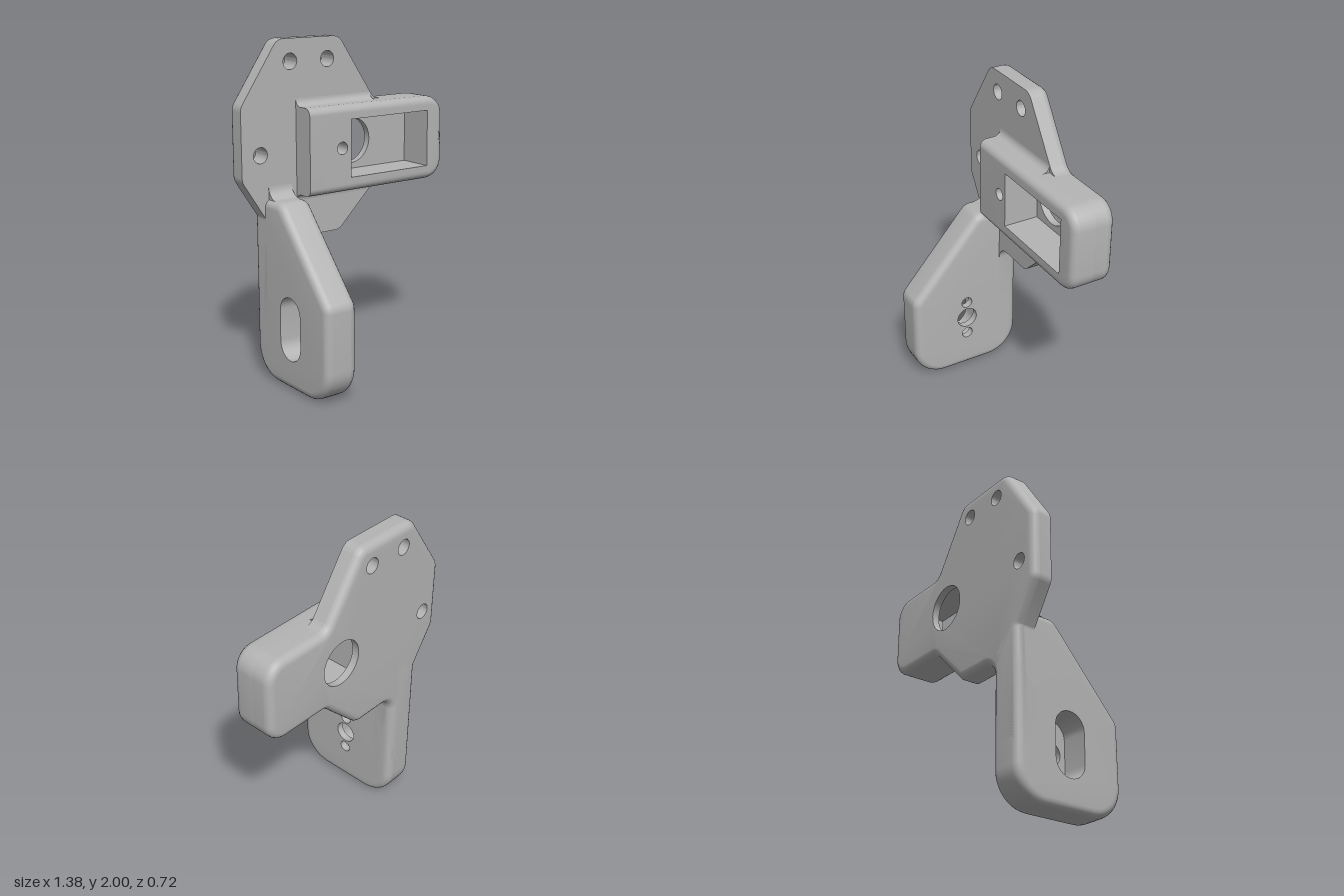
import * as THREE from 'three';
import { toCreasedNormals } from 'three/addons/utils/BufferGeometryUtils.js';

const V = (x, y) => new THREE.Vector2(x, y);

// Closed outline from [x, y, cornerRadius] corners, counter-clockwise
function rounded(corners, seg = 8) {
  const out = [], n = corners.length;
  corners.forEach(([x, y, r], i) => {
    const p = V(x, y);
    if (!r) { out.push(p); return; }
    const [px, py] = corners[(i + n - 1) % n], [nx, ny] = corners[(i + 1) % n];
    const a = V(px, py).sub(p).normalize(), b = V(nx, ny).sub(p).normalize();
    const h = Math.acos(a.dot(b)) / 2, t = r / Math.tan(h);
    const c = p.clone().addScaledVector(a.clone().add(b).normalize(), r / Math.sin(h));
    const start = p.clone().addScaledVector(a, t).sub(c).angle();
    let sweep = p.clone().addScaledVector(b, t).sub(c).angle() - start;
    if (sweep > Math.PI) sweep -= 2 * Math.PI;
    if (sweep < -Math.PI) sweep += 2 * Math.PI;
    for (let k = 0; k <= seg; k++) {
      const q = start + sweep * k / seg;
      out.push(V(c.x + r * Math.cos(q), c.y + r * Math.sin(q)));
    }
  });
  return out;
}

// Clockwise hole outlines
const circle = (x, y, r, n = 32) => Array.from({ length: n }, (_, i) =>
  V(x + r * Math.cos(-i / n * 2 * Math.PI), y + r * Math.sin(-i / n * 2 * Math.PI)));
const rectHole = (x0, x1, y0, y1, r = 0) =>
  rounded([[x0, y0, r], [x1, y0, r], [x1, y1, r], [x0, y1, r]]).reverse();

function inset(pts, d, lockX) {
  const n = pts.length;
  const normal = (a, b) => V(a.y - b.y, b.x - a.x).normalize();
  return pts.map((p, i) => {
    const n1 = normal(pts[(i + n - 1) % n], p), n2 = normal(p, pts[(i + 1) % n]);
    const q = p.clone().addScaledVector(n1.clone().add(n2), d / (1 + n1.dot(n2)));
    if (p.x === lockX) q.x = p.x;
    return q;
  });
}

// Slab with straight holes; levels are [z, inset] pairs from back to front
function slab(outline, holes, levels, lockX) {
  const pos = [];
  const put = (p, z) => pos.push(p.x, p.y, z);
  const wall = (lo, z0, hi, z1) => lo.forEach((p, i) => {
    const j = (i + 1) % lo.length;
    put(p, z0); put(lo[j], z0); put(hi[j], z1);
    put(p, z0); put(hi[j], z1); put(hi[i], z1);
  });
  const rings = levels.map(([, d]) => d ? inset(outline, d, lockX) : outline);
  const last = levels.length - 1;
  for (let i = 0; i < last; i++) wall(rings[i], levels[i][0], rings[i + 1], levels[i + 1][0]);
  holes.forEach(h => wall(h, levels[0][0], h, levels[last][0]));
  for (const k of [0, last]) {
    const all = [rings[k], ...holes].flat();
    for (const f of THREE.ShapeUtils.triangulateShape(rings[k], holes)) {
      (k ? f : [f[2], f[1], f[0]]).forEach(i => put(all[i], levels[k][0]));
    }
  }
  const g = new THREE.BufferGeometry();
  g.setAttribute('position', new THREE.Float32BufferAttribute(pos, 3));
  return toCreasedNormals(g, 0.6);
}

// Levels of a rounded edge at the back (dir 1) or the front (dir -1)
const B = 0.045;
function edge(z, dir) {
  const l = [];
  for (let i = 0; i <= 5; i++) {
    const a = i / 5 * Math.PI / 2;
    l.push([z + dir * B * (1 - Math.cos(a)), B * (1 - Math.sin(a))]);
  }
  return dir > 0 ? l : l.reverse();
}

// Concave quarter fillet running along x
function fillet(r, side, length) {
  const pts = [V(0, 0)];
  for (let i = 0; i <= 8; i++) {
    const a = i / 8 * Math.PI / 2;
    pts.push(V(-r + r * Math.cos(a), side * (r - r * Math.sin(a))));
  }
  const g = new THREE.ExtrudeGeometry(new THREE.Shape(pts), { depth: length, bevelEnabled: false });
  return toCreasedNormals(g, 0.6);
}

export function createModel() {
  const model = new THREE.Group();
  model.name = 'mountingBracket';
  const grey = new THREE.MeshStandardMaterial({ color: 0xb4b4b4 });
  grey.name = 'grey';
  const add = (name, geo, parent = model) => {
    const m = new THREE.Mesh(geo, grey);
    m.name = name;
    parent.add(m);
    return m;
  };
  const zBack = -0.36, zFloor = zBack + B, zPlate = -0.235, zArm = -0.095;

  // Back plate: octagon, arm backing and the strip running into the leg
  const plate = rounded([
    [-0.33, 0.3, 0], [-0.33, 0.835, 0.09], [-0.015, 0.835, 0.08], [0.25, 1.095, 0.08],
    [0.69, 1.095, 0.12], [0.69, 1.61, 0.12], [0.25, 1.61, 0.08], [-0.01, 2, 0.08],
    [-0.44, 2, 0.08], [-0.69, 1.63, 0.08], [-0.69, 1.21, 0.08], [-0.54, 0.98, 0.03], [-0.54, 0.3, 0],
  ]);
  const mounts = [[-0.355, 1.87], [-0.095, 1.87], [-0.565, 1.35]].map(([x, y]) => circle(x, y, 0.047));
  const pocket = rectHole(-0.025, 0.56, 1.18, 1.525);
  add('plateBack', slab(plate, [...mounts, circle(0.135, 1.355, 0.14, 48)], edge(zBack, 1)));
  add('plateFront', slab(plate, [...mounts, pocket], [[zFloor, 0], [zPlate, 0]]));

  // Arm with rectangular pocket and two blind screw holes
  const arm = rounded([[-0.32, 1.095, 0], [0.69, 1.095, 0.12], [0.69, 1.61, 0.12], [-0.32, 1.61, 0]]);
  const screws = [-0.09, 0.625].map(x => circle(x, 1.36, 0.037));
  add('arm', slab(arm, [pocket, ...screws], [[zPlate, 0], ...edge(zArm, -1)], -0.32));

  // Leg: slotted body and thin wall with axle and screw holes
  const leg = new THREE.Group();
  leg.name = 'leg';
  leg.rotation.y = Math.PI / 2;
  model.add(leg);
  const side = rounded([
    [-0.36, 0, 0.2], [0.36, 0, 0.2], [0.36, 1.09, 0.05], [0.09, 1.09, 0.08], [-0.36, 0.575, 0.08],
  ], 10);
  const xWall = -0.33 - B;
  add('legBody', slab(side, [rectHole(-0.1, 0.1, 0.18, 0.56, 0.099)],
    [...edge(-0.54, 1), [xWall, 0]]), leg);
  add('legWall', slab(side, [circle(0, 0.367, 0.067), circle(0, 0.483, 0.036), circle(0, 0.25, 0.036)],
    edge(-0.33, -1)), leg);

  // Fillets where the arm and the leg meet the plate
  const fillets = [
    ['armTopFillet', -0.32, 1.61, 0.045, 1, 0.54],
    ['armBottomFillet', -0.32, 1.095, 0.04, -1, 0.53],
    ['legTopFillet', -0.515, 1.088, 0.075, 1, 0.16],
  ];
  for (const [name, x, y, r, s, len] of fillets) {
    const f = add(name, fillet(r, s, len));
    f.rotation.y = Math.PI / 2;
    f.position.set(x, y, zPlate);
  }
  return model;
}
